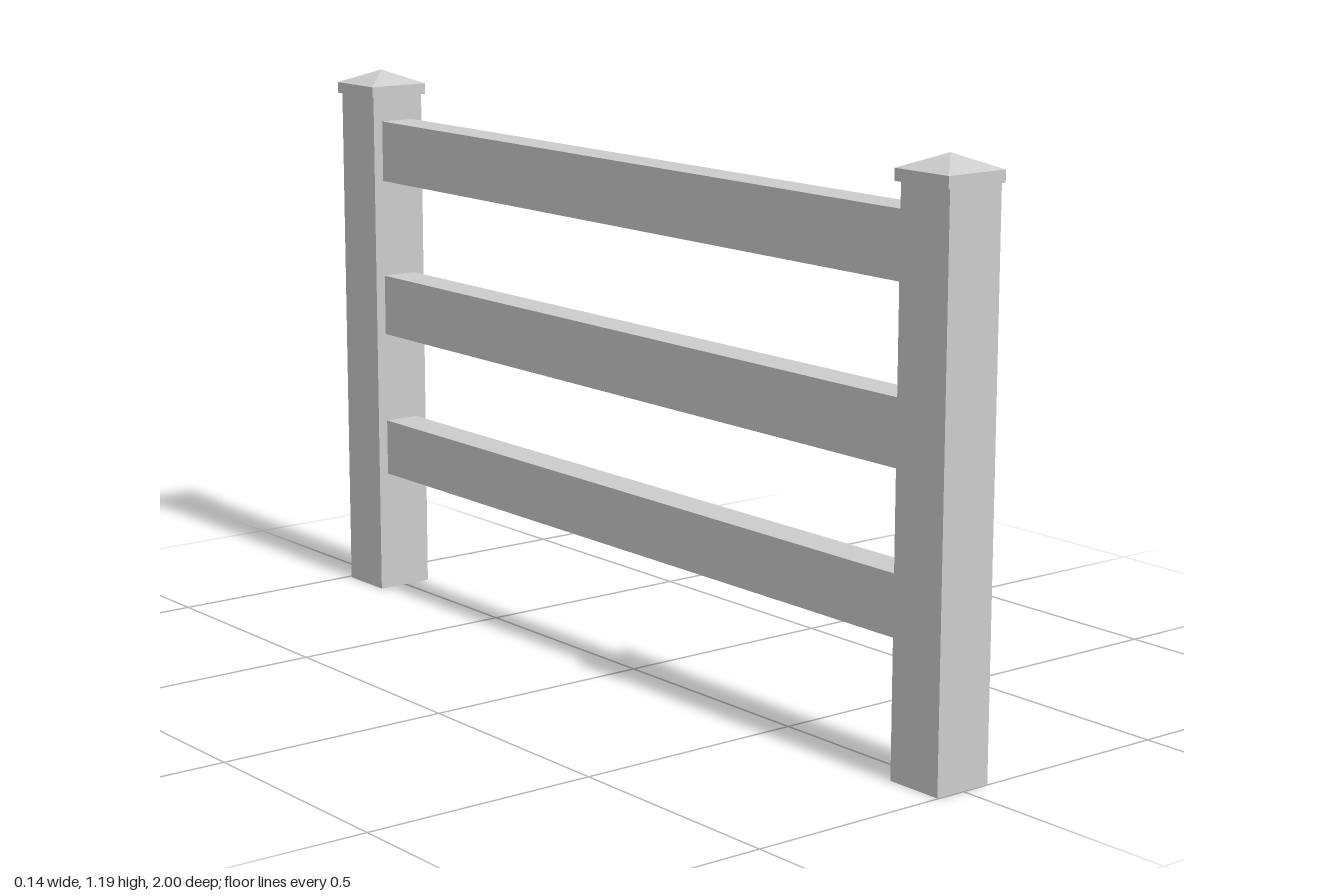
import * as THREE from 'three';

export function createModel() {
  const model = new THREE.Group();
  model.name = 'fencePanel';
  const paint = new THREE.MeshStandardMaterial({ color: 0xcccccc });
  paint.name = 'pale grey paint';

  function add(parent, name, geometry, x, y, z) {
    const mesh = new THREE.Mesh(geometry, paint);
    mesh.name = name;
    mesh.position.set(x, y, z);
    parent.add(mesh);
  }

  const capWidth = 0.142, capBase = 1.14, capRim = 1.164, top = 1.194;

  // Low square pyramid, turned so its sides line up with the post
  const peak = new THREE.ConeGeometry(capWidth / Math.SQRT2, top - capRim, 4, 1, true)
    .rotateY(Math.PI / 4).toNonIndexed();
  peak.computeVertexNormals();

  // End posts with a thin overhanging cap
  for (const [name, postZ, capZ] of [['frontPost', 0.934, 0.929], ['backPost', -0.927, -0.929]]) {
    const post = new THREE.Group();
    post.name = name;
    add(post, 'postShaft', new THREE.BoxGeometry(0.129, capBase, 0.128), -0.001, capBase / 2, postZ);
    add(post, 'capPlate', new THREE.BoxGeometry(capWidth, capRim - capBase, capWidth), 0, (capBase + capRim) / 2, capZ);
    add(post, 'capPeak', peak, 0, (capRim + top) / 2, capZ);
    model.add(post);
  }

  // Three horizontal rails between the posts
  for (const [name, low, high] of [
    ['lowerRail', 0.271, 0.396], ['middleRail', 0.598, 0.733], ['upperRail', 0.95, 1.085],
  ]) {
    add(model, name, new THREE.BoxGeometry(0.08, high - low, 1.75), -0.003, (low + high) / 2, 0.004);
  }
  return model;
}
